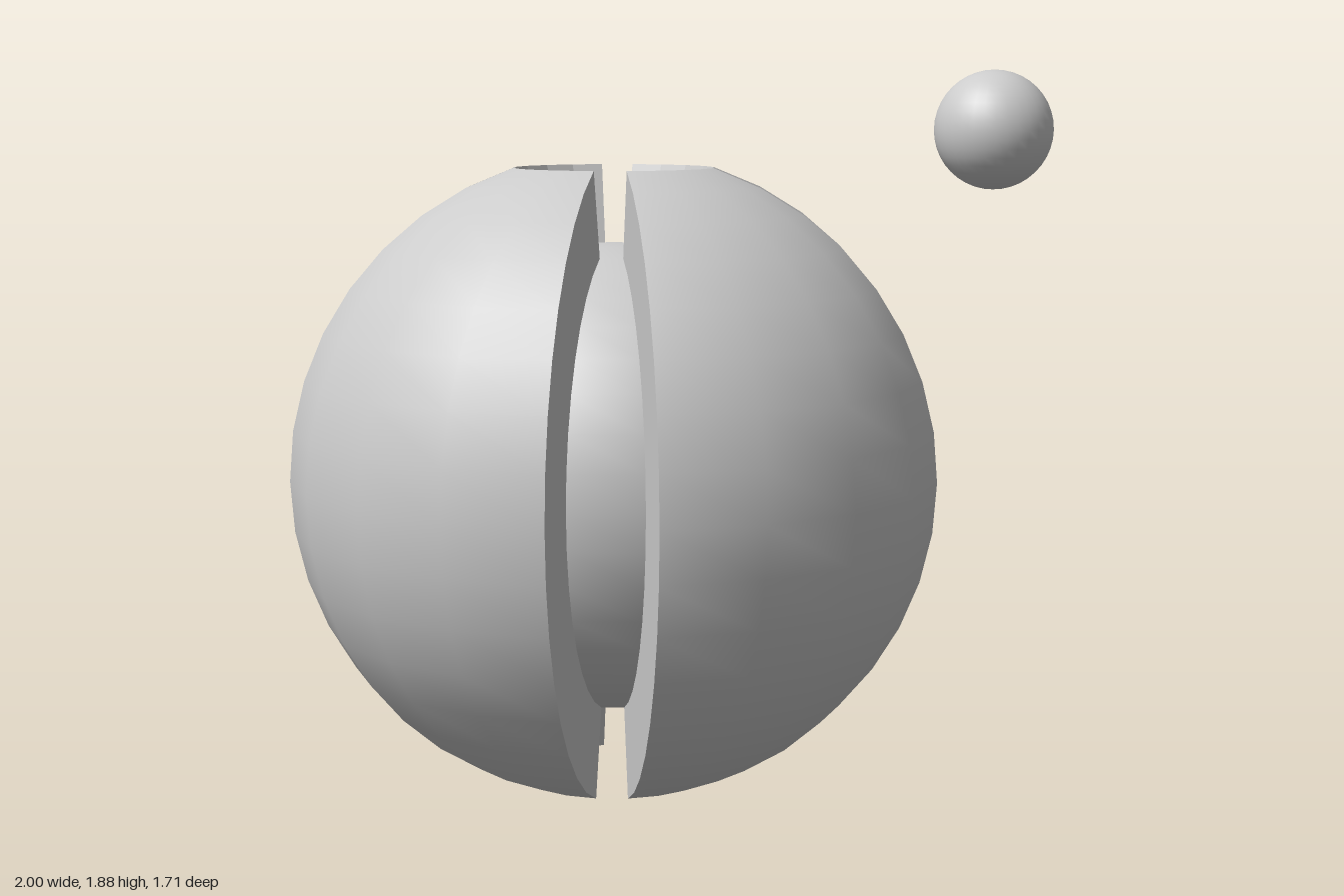
import * as THREE from 'three';

const OUTER = 0.857, INNER = 0.615;
const rad = THREE.MathUtils.degToRad;
const START = -18, SPAN = 72, POLE = 18; // degrees: wedge start, wedge width, polar opening

const smooth = new THREE.MeshStandardMaterial({ color: 0xcccccc });
const inward = new THREE.MeshStandardMaterial({ color: 0xcccccc, side: THREE.BackSide });
const flat = new THREE.MeshStandardMaterial({ color: 0xcccccc, flatShading: true, side: THREE.DoubleSide });

function add(parent, name, geometry, material) {
  const mesh = new THREE.Mesh(geometry, material);
  mesh.name = name;
  parent.add(mesh);
  return mesh;
}

// Part of a sphere covering one wedge, open at both poles
function shellSurface(radius) {
  return new THREE.SphereGeometry(radius, 4, 16,
    rad(180 - START - SPAN), rad(SPAN), rad(POLE), rad(180 - 2 * POLE));
}

// Thick shell segment: outer and inner skin, two side walls, two sloping rims
function createWedge() {
  const wedge = new THREE.Group();
  add(wedge, 'outerSkin', shellSurface(OUTER), smooth);
  add(wedge, 'innerSkin', shellSurface(INNER), inward);
  for (const angle of [START, START + SPAN]) {
    const wall = new THREE.RingGeometry(INNER, OUTER, 16, 1, rad(POLE - 90), rad(180 - 2 * POLE));
    wall.rotateY(-rad(angle));
    add(wedge, 'sideWall', wall, flat);
  }
  const s = Math.sin(rad(POLE)), c = Math.cos(rad(POLE));
  for (const dir of [1, -1]) {
    const radii = dir > 0 ? [OUTER * s, INNER * s] : [INNER * s, OUTER * s];
    const rim = new THREE.CylinderGeometry(...radii, (OUTER - INNER) * c, 4, 1, true,
      rad(90 - START - SPAN), rad(SPAN));
    rim.translate(0, dir * (OUTER + INNER) / 2 * c, 0);
    add(wedge, dir > 0 ? 'topRim' : 'bottomRim', rim, flat);
  }
  return wedge;
}

export function createModel() {
  const model = new THREE.Group();
  model.name = 'splitSphere';

  // Large sphere: solid core inside four separated shell wedges
  const body = new THREE.Group();
  body.name = 'body';
  body.position.set(-0.143, OUTER * Math.cos(rad(POLE)), 0);
  add(body, 'core', new THREE.SphereGeometry(0.62, 20, 20), smooth);
  for (let i = 0; i < 4; i++) {
    const wedge = createWedge();
    wedge.name = 'shellWedge' + (i + 1);
    wedge.rotation.y = i * Math.PI / 2;
    body.add(wedge);
  }
  model.add(body);

  // Small floating sphere
  add(model, 'satellite', new THREE.SphereGeometry(0.148, 32, 20), smooth)
    .position.set(0.85, 1.735, -0.157);
  return model;
}
